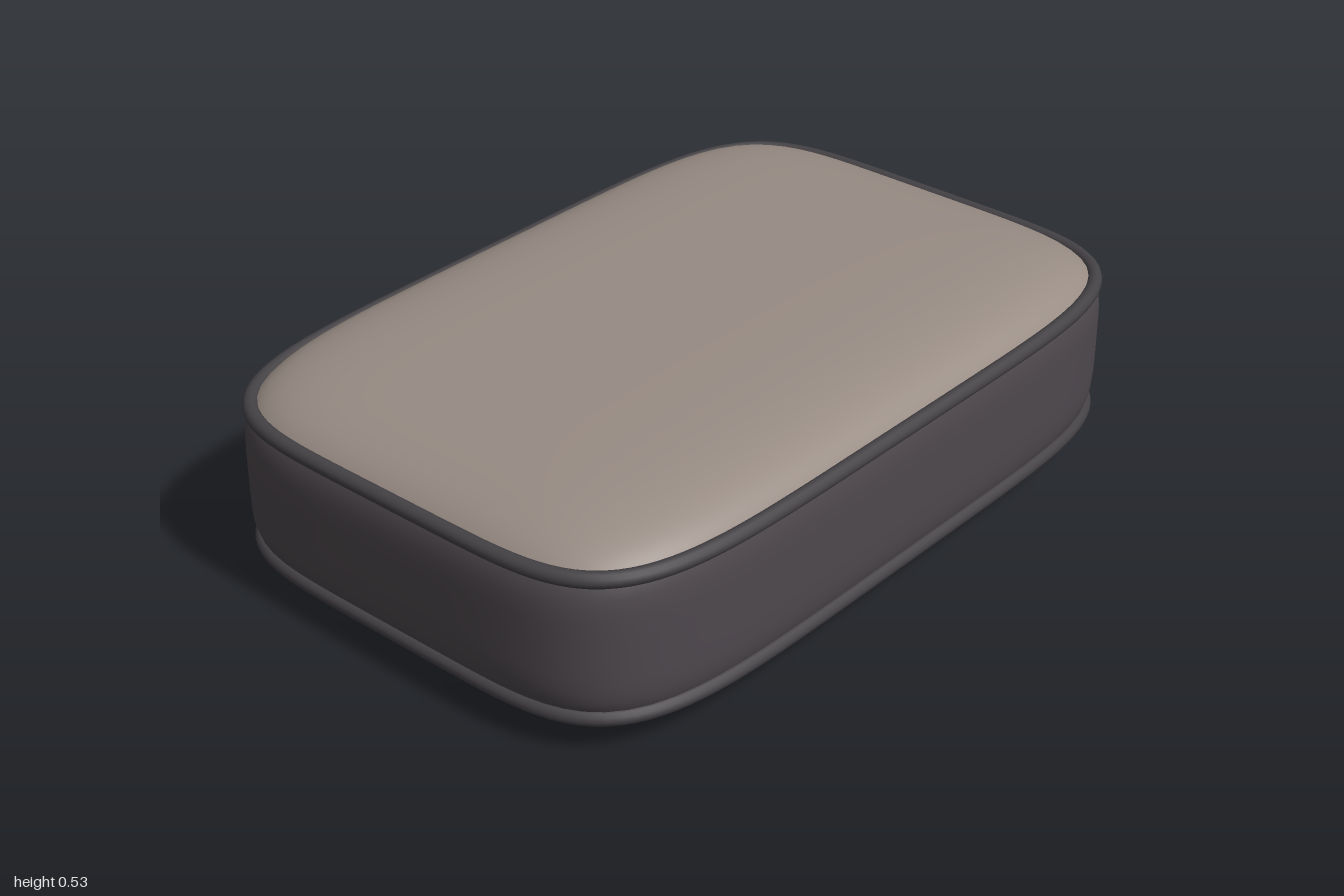
import * as THREE from 'three';

const HALF = { x: 0.997, y: 0.267, z: 0.665 };
const MID_Y = 0.27;
const OUTLINE_POWER = 5.4;
const CROWN_POWER = 5;
const SEAM = 0.655; // seam height as a fraction of the half height
const SEGMENTS = 128;

// Point on the rounded-rectangle outline, scaled by r, at relative height h
function outlinePoint(i, r, h) {
  const t = (i / SEGMENTS) * Math.PI * 2;
  const c = Math.cos(t), s = Math.sin(t);
  const k = r / Math.pow(Math.abs(c) ** OUTLINE_POWER + Math.abs(s) ** OUTLINE_POWER, 1 / OUTLINE_POWER);
  return new THREE.Vector3(c * k * HALF.x, MID_Y + h * HALF.y, s * k * HALF.z);
}

const partner = (v) => Math.pow(Math.max(0, 1 - Math.abs(v) ** CROWN_POWER), 1 / CROWN_POWER);
const SEAM_R = partner(SEAM);

// Smooth skin through outline rings, listed bottom to top as [r, h]
function skin(rings) {
  const positions = [], index = [];
  rings.forEach(([r, h], j) => {
    for (let i = 0; i < SEGMENTS; i++) {
      positions.push(...outlinePoint(i, r, h).toArray());
      if (j === rings.length - 1) continue;
      const n = (i + 1) % SEGMENTS;
      const a = j * SEGMENTS + i, b = j * SEGMENTS + n;
      index.push(a, a + SEGMENTS, b, b, a + SEGMENTS, b + SEGMENTS);
    }
  });
  const geometry = new THREE.BufferGeometry();
  geometry.setAttribute('position', new THREE.Float32BufferAttribute(positions, 3));
  geometry.setIndex(index);
  geometry.computeVertexNormals();
  return geometry;
}

export function createModel() {
  const group = new THREE.Group();
  const material = (name, color) => {
    const m = new THREE.MeshStandardMaterial({ color });
    m.name = name;
    return m;
  };
  const fabric = material('taupe fabric', 0x988c84);
  const band = material('charcoal fabric', 0x4e484d);
  const cord = material('dark piping', 0x454246);

  const add = (name, geometry, mat) => {
    const mesh = new THREE.Mesh(geometry, mat);
    mesh.name = name;
    group.add(mesh);
  };

  // Domed top and bottom panels
  const topRings = [], steps = 28;
  for (let j = 0; j <= steps; j++) {
    const r = SEAM_R * Math.cos((j / steps) * Math.PI / 2);
    topRings.push([j === steps ? 0.001 : r, partner(r)]);
  }
  const bottomRings = topRings.map(([r, h]) => [r, -h]).reverse();
  add('topPanel', skin(topRings), fabric);
  add('bottomPanel', skin(bottomRings), fabric);

  // Slightly bulging side band
  const sideRings = [];
  for (let j = 0; j <= 16; j++) {
    const h = SEAM * (j / 8 - 1);
    sideRings.push([partner(h), h]);
  }
  add('sideBand', skin(sideRings), band);

  // Piping along both seams
  for (const [name, h] of [['topPiping', SEAM], ['bottomPiping', -SEAM]]) {
    const points = Array.from({ length: SEGMENTS }, (_, i) => outlinePoint(i, SEAM_R + 0.006, h));
    const path = new THREE.CatmullRomCurve3(points, true);
    add(name, new THREE.TubeGeometry(path, 200, 0.019, 12, true), cord);
  }
  return group;
}
